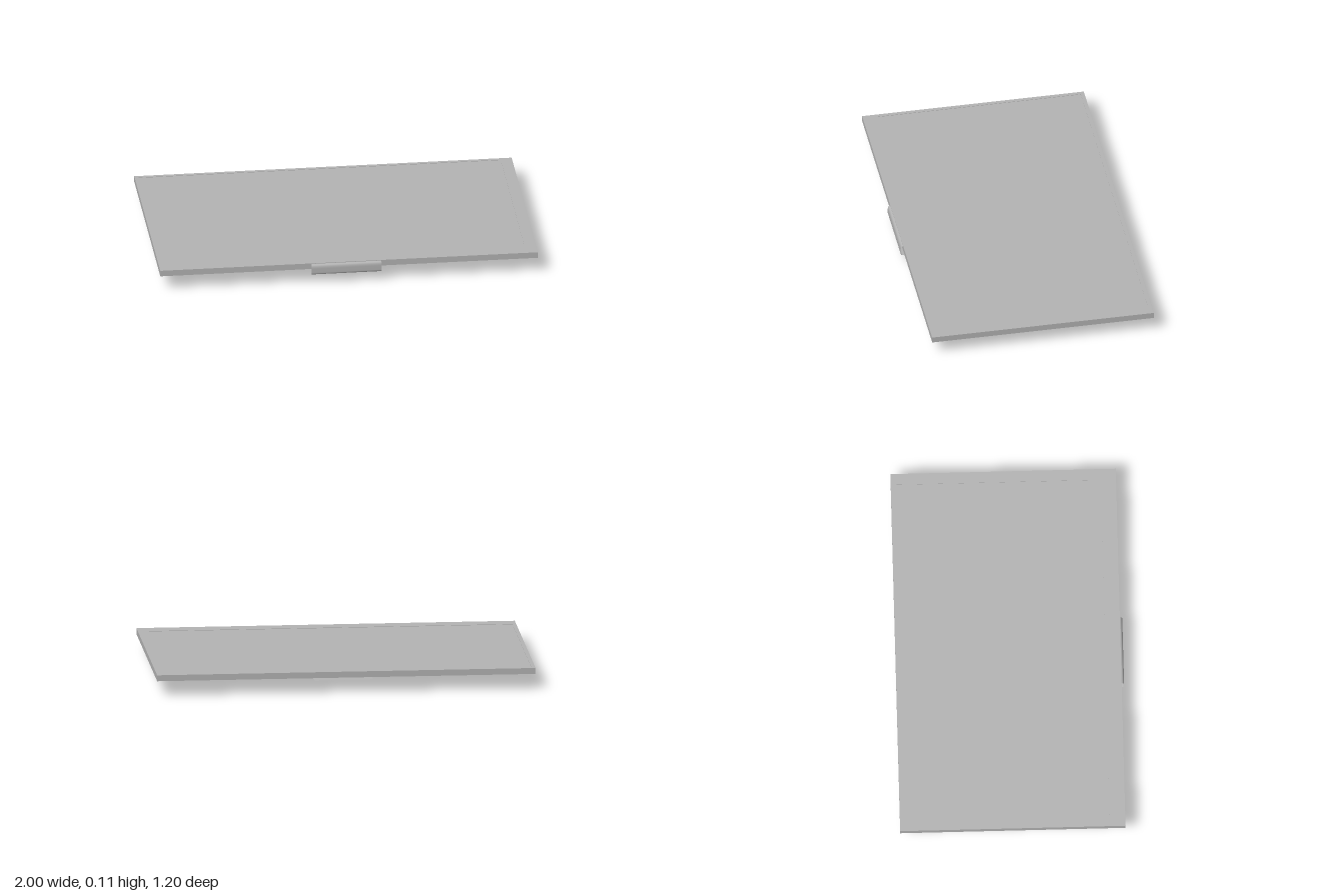
import * as THREE from 'three';

const grey = new THREE.MeshStandardMaterial({ color: 0xb2b2b2 });
grey.name = 'grey';
const ribbonGrey = grey.clone();
ribbonGrey.name = 'ribbon grey';
ribbonGrey.side = THREE.DoubleSide;

const BACK = -0.6, FRONT = 0.587, BOTTOM = 0.08, TOP = 0.112, RIM = 0.002;

// Rectangle outline; shape y is -z so the extrusion can be laid flat
function rect(target, x0, x1, z0, z1) {
  target.moveTo(x0, -z1);
  target.lineTo(x1, -z1);
  target.lineTo(x1, -z0);
  target.lineTo(x0, -z0);
  target.closePath();
  return target;
}

function slab(name, shape, y, height) {
  const geometry = new THREE.ExtrudeGeometry(shape, { depth: height, bevelEnabled: false });
  geometry.rotateX(-Math.PI / 2);
  const mesh = new THREE.Mesh(geometry, grey);
  mesh.name = name;
  mesh.position.y = y;
  return mesh;
}

// Half width of the ribbon: wide at the front fold, easing to narrow further back
function halfWidth(z) {
  return THREE.MathUtils.lerp(0.155, 0.185, THREE.MathUtils.smoothstep(z, 0.27, 0.38));
}

function ribbonGeometry() {
  // Side profile in (z, y): front fold, run under the panel, step down, tail
  const path = new THREE.Path();
  path.moveTo(FRONT, 0.109);
  path.quadraticCurveTo(0.6, 0.106, 0.6, 0.085);
  path.lineTo(0.6, 0.063);
  path.quadraticCurveTo(0.6, 0.05, 0.588, 0.05);
  for (let i = 0; i <= 10; i++) path.lineTo(0.38 - i * 0.011, 0.05);
  path.lineTo(-0.035, 0.05);
  path.quadraticCurveTo(-0.049, 0.05, -0.049, 0.037);
  path.lineTo(-0.049, 0.013);
  path.quadraticCurveTo(-0.049, 0, -0.063, 0);
  path.lineTo(-0.295, 0);

  const positions = [], index = [];
  path.getPoints(8).forEach((p, i) => {
    const w = halfWidth(p.x), cx = -0.015;
    positions.push(cx - w, p.y, p.x, cx + w, p.y, p.x);
    if (i > 0) {
      const a = 2 * i - 2;
      index.push(a, a + 2, a + 1, a + 1, a + 2, a + 3);
    }
  });
  const geometry = new THREE.BufferGeometry();
  geometry.setAttribute('position', new THREE.Float32BufferAttribute(positions, 3));
  geometry.setIndex(index);
  geometry.computeVertexNormals();
  return geometry;
}

export function createModel() {
  const model = new THREE.Group();
  model.name = 'displayPanel';

  // Flat panel with a very shallow, off-centre recess in its top face
  const outline = () => rect(new THREE.Shape(), -1, 1, BACK, FRONT);
  model.add(slab('panelBase', outline(), BOTTOM, TOP - BOTTOM - RIM));
  const border = outline();
  border.holes.push(rect(new THREE.Path(), -0.98, 0.94, -0.58, 0.505));
  model.add(slab('panelBorder', border, TOP - RIM, RIM));

  // Flexible ribbon folded from the front edge to the underside
  const ribbon = new THREE.Mesh(ribbonGeometry(), ribbonGrey);
  ribbon.name = 'ribbonCable';
  model.add(ribbon);

  return model;
}
